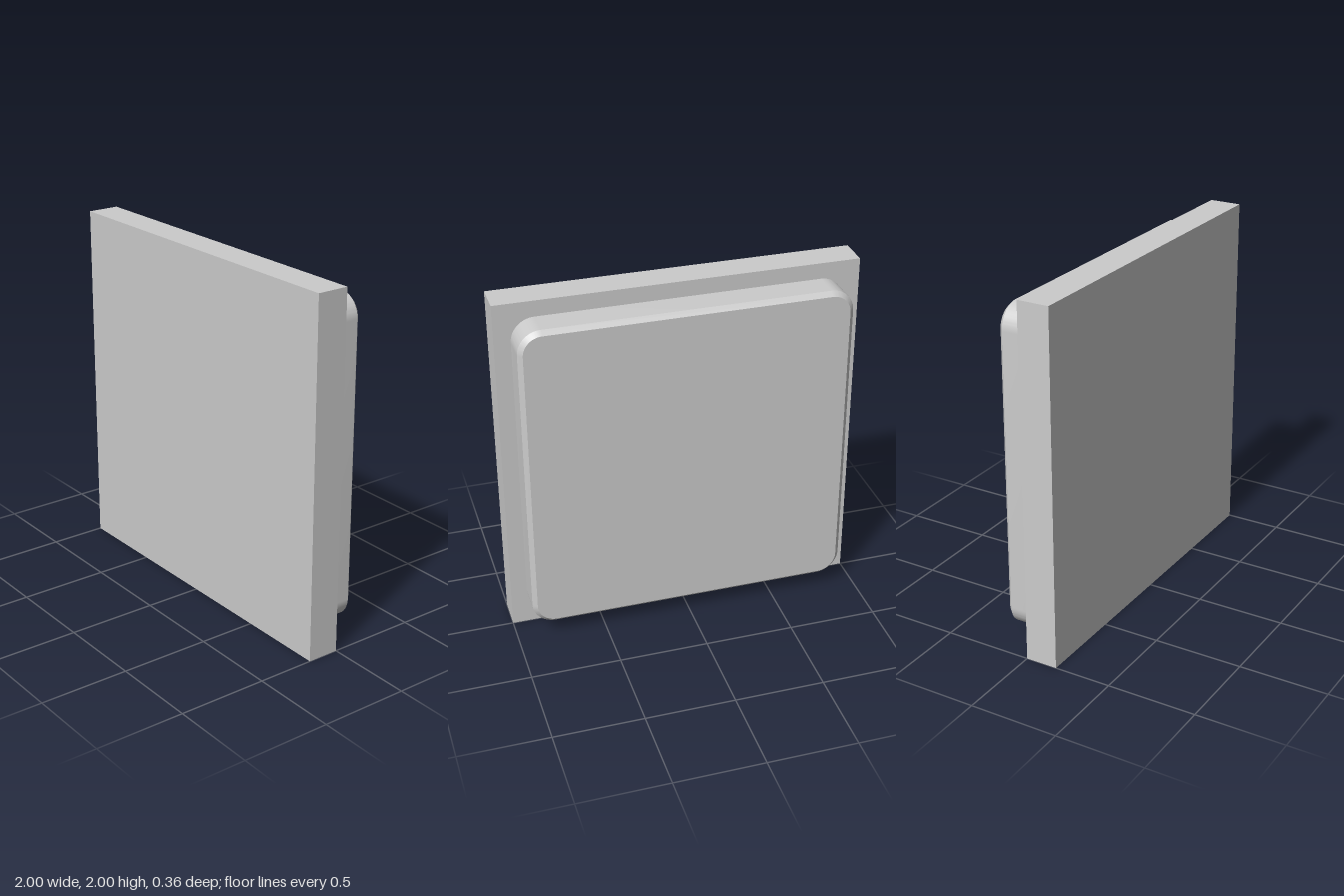
import * as THREE from 'three';
import { toCreasedNormals } from 'three/addons/utils/BufferGeometryUtils.js';

// Square outline with rounded corners, centred on the origin
function roundedSquare(half, radius) {
  const shape = new THREE.Shape();
  const c = half - radius;
  [[c, c], [-c, c], [-c, -c], [c, -c]].forEach(([x, y], i) => {
    shape.absarc(x, y, radius, i * Math.PI / 2, (i + 1) * Math.PI / 2, false);
  });
  shape.closePath();
  return shape;
}

export function createModel() {
  const group = new THREE.Group();
  group.name = 'panel';
  const material = new THREE.MeshStandardMaterial({ color: 0xcccccc });

  // Square front plate
  const plate = new THREE.Mesh(new THREE.BoxGeometry(2, 2, 0.18), material);
  plate.name = 'frontPlate';
  plate.position.set(0, 1, 0.09);
  group.add(plate);

  // Rounded back block with a chamfered rear edge; its front end is sunk into the plate
  const chamfer = 0.025;
  const blockGeometry = new THREE.ExtrudeGeometry(roundedSquare(0.91 - chamfer, 0.13 - chamfer), {
    depth: 0.18,
    curveSegments: 12,
    bevelEnabled: true,
    bevelSegments: 1,
    bevelSize: chamfer,
    bevelThickness: chamfer,
  });
  const block = new THREE.Mesh(toCreasedNormals(blockGeometry, Math.PI / 6), material);
  block.name = 'backBlock';
  block.position.set(0, 1, -0.18 + chamfer);
  group.add(block);

  return group;
}
